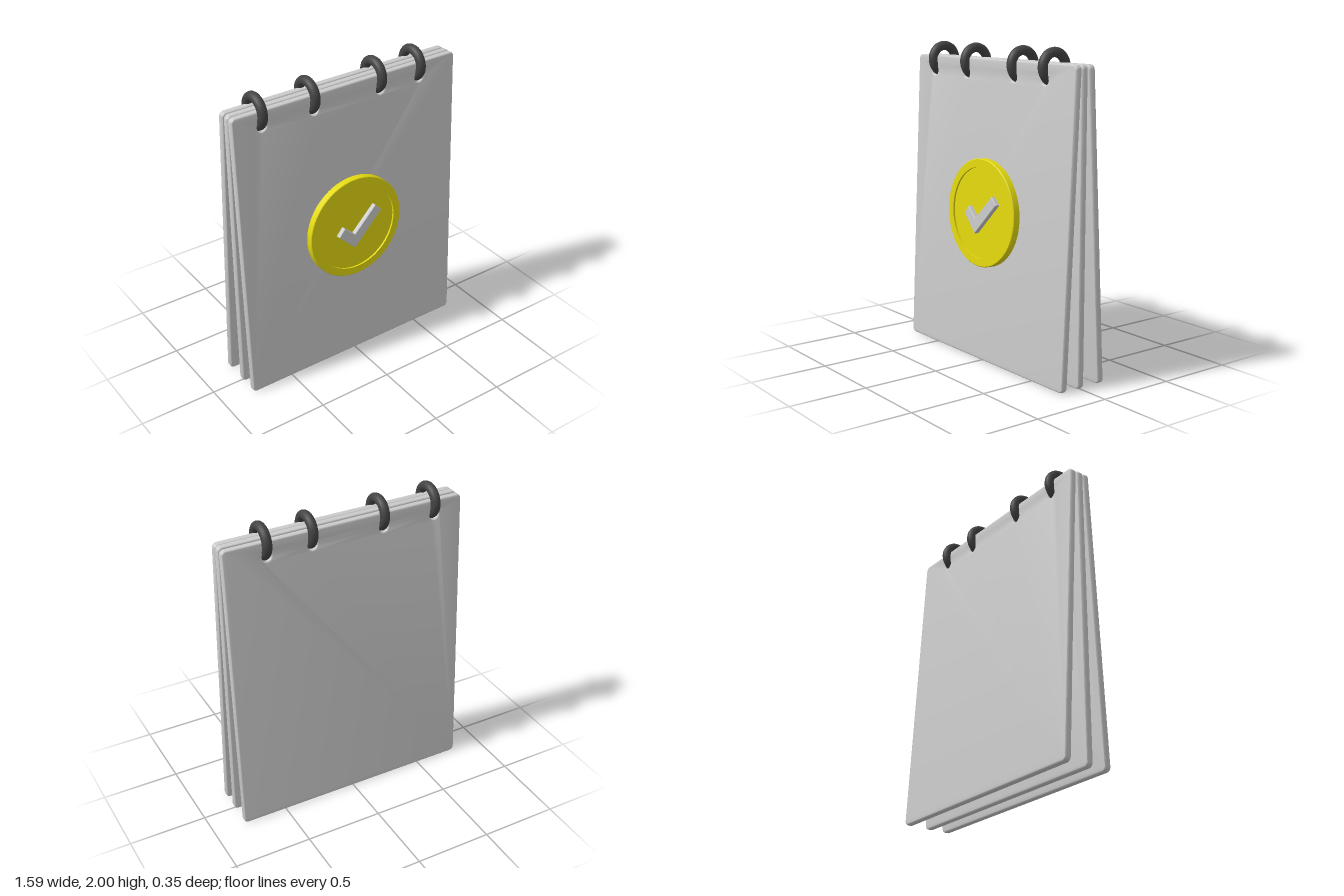
import * as THREE from 'three';
import { toCreasedNormals } from 'three/addons/utils/BufferGeometryUtils.js';

const grey = new THREE.MeshStandardMaterial({ color: 0xcccccc });
const yellow = new THREE.MeshStandardMaterial({ color: 0xe3d90f });
const dark = new THREE.MeshStandardMaterial({ color: 0x444444 });

const RING_X = [-0.603, -0.249, 0.228, 0.521];
const RING_Y = 1.885, RING_R = 0.086, WIRE_R = 0.03;
const W = 1.59, H = 1.908, T = 0.042, MID_Y = 0.957;

function addMesh(parent, name, geometry, material) {
  const mesh = new THREE.Mesh(geometry, material);
  mesh.name = name;
  parent.add(mesh);
  return mesh;
}

// Extrusion centred on z = 0 with softened edges and unchanged outline
function plate(shape, depth, bevel, segments) {
  const geo = new THREE.ExtrudeGeometry(shape, {
    depth: depth - 2 * bevel, bevelThickness: bevel, bevelSize: bevel,
    bevelOffset: -bevel, bevelSegments: segments, curveSegments: 8,
  });
  geo.translate(0, 0, -depth / 2 + bevel);
  return toCreasedNormals(geo, 0.7);
}

// Rounded sheet outline with a punched hole for every ring
function sheetShape(holeY) {
  const x = W / 2, y = H / 2, r = 0.03;
  const s = new THREE.Shape();
  s.absarc(x - r, y - r, r, 0, Math.PI / 2);
  s.absarc(-x + r, y - r, r, Math.PI / 2, Math.PI);
  s.absarc(-x + r, -y + r, r, Math.PI, Math.PI * 1.5);
  s.absarc(x - r, -y + r, r, Math.PI * 1.5, Math.PI * 2);
  s.closePath();
  for (const hx of RING_X) {
    const hole = new THREE.Path();
    hole.absarc(hx, holeY - MID_Y, 0.03, 0, Math.PI * 2, true);
    s.holes.push(hole);
  }
  return s;
}

export function createModel() {
  const model = new THREE.Group();
  model.name = 'flipNotepad';

  // Three sheets fanned out from the rings: name, z at the top, z at the bottom
  const sheets = [['frontCover', 0.046, 0.132], ['middleSheet', 0.002, 0.002], ['backCover', -0.05, -0.155]];
  const groups = sheets.map(([name, top, bottom]) => {
    const group = new THREE.Group();
    group.name = name;
    group.position.set(0, MID_Y, (top + bottom) / 2);
    group.rotation.x = Math.asin((top - bottom) / H);
    const holeY = RING_Y - Math.sqrt(RING_R ** 2 - top ** 2);
    addMesh(group, name + 'Panel', plate(sheetShape(holeY), T, 0.01, 3), grey);
    model.add(group);
    return group;
  });

  // Binding rings
  const ringGeo = new THREE.TorusGeometry(RING_R, WIRE_R, 16, 48);
  ringGeo.rotateY(Math.PI / 2);
  RING_X.forEach((x, i) => {
    addMesh(model, 'bindingRing' + (i + 1), ringGeo, dark).position.set(x, RING_Y, 0);
  });

  // Round badge with a raised rim, lying on the front cover
  const profile = [[0, 0.018], [0.34, 0.018], [0.34, 0.062], [0.336, 0.066],
    [0.288, 0.066], [0.288, 0.054], [0, 0.054]].map(([r, y]) => new THREE.Vector2(r, y));
  const badgeGeo = new THREE.LatheGeometry(profile, 72);
  badgeGeo.rotateX(Math.PI / 2);
  addMesh(groups[0], 'badge', toCreasedNormals(badgeGeo, 0.6), yellow);

  // Tick mark standing out of the badge
  const tick = new THREE.Shape([[-0.143, -0.018], [-0.1, 0.032], [-0.026, -0.034], [0.134, 0.122],
    [0.18, 0.074], [-0.026, -0.132]].reverse().map(([x, y]) => new THREE.Vector2(x, y)));
  addMesh(groups[0], 'tickMark', plate(tick, 0.036, 0.003, 1), grey).position.z = 0.066;

  return model;
}
